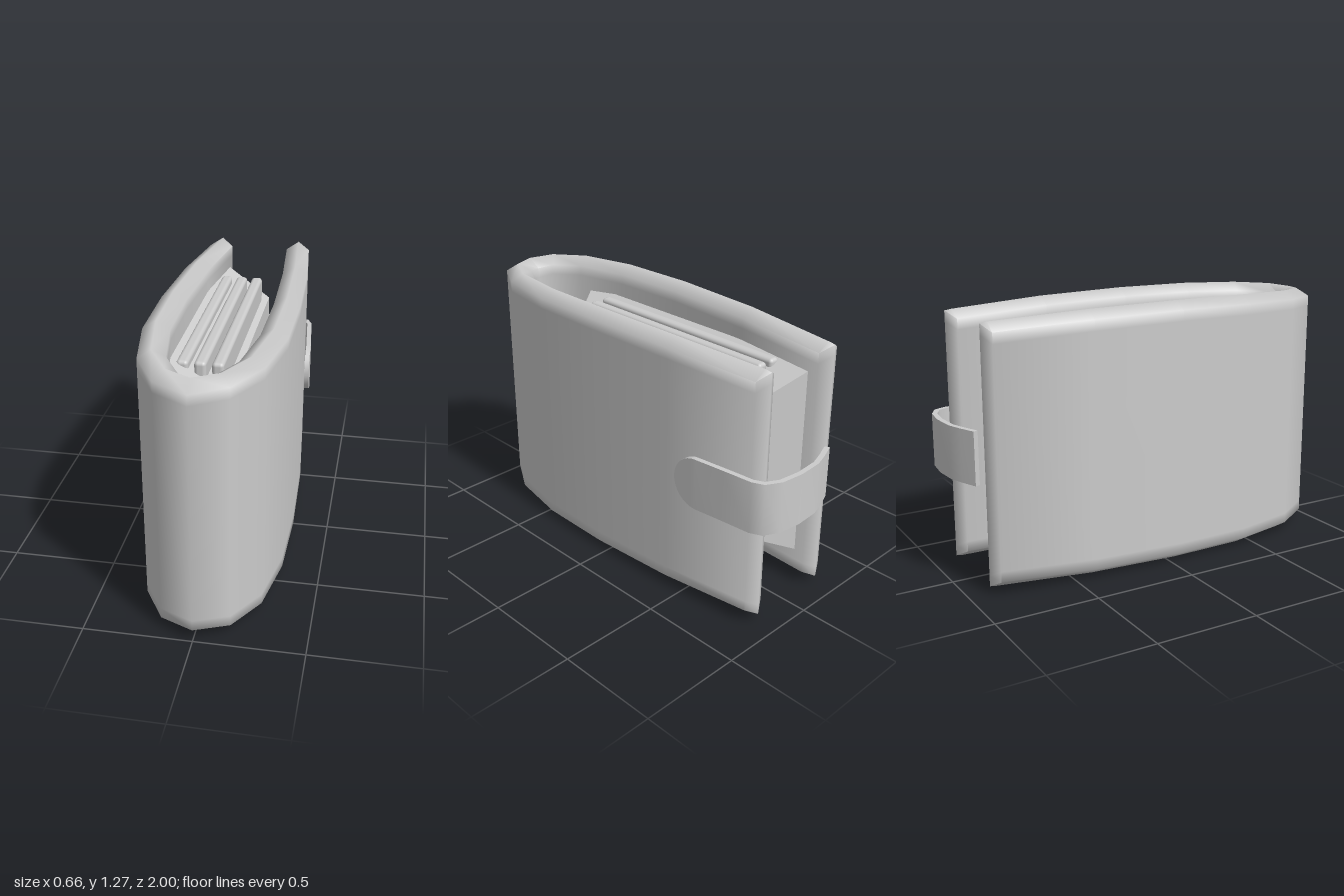
import * as THREE from 'three';
import { toCreasedNormals } from 'three/addons/utils/BufferGeometryUtils.js';
import { RoundedBoxGeometry } from 'three/addons/geometries/RoundedBoxGeometry.js';

const MID = 0.635; // height of the centre line
const material = new THREE.MeshStandardMaterial({ color: 0xcccccc, roughness: 0.8, side: THREE.DoubleSide });

// Sweeps a closed ring of [offset, y] points along stations [x, z, halfWidth, halfHeight]
// lying in the ground plane, with mitred corners and capped ends.
function sweep(stations, ringOf, crease) {
  const positions = [], index = [];
  const dir = (a, b) => new THREE.Vector2(b[0] - a[0], b[1] - a[1]).normalize();
  let n = 0;
  stations.forEach((s, i) => {
    const before = dir(stations[Math.max(i - 1, 0)], stations[Math.max(i, 1)]);
    const last = stations.length - 1;
    const after = dir(stations[Math.min(i, last - 1)], stations[Math.min(i + 1, last)]);
    const t = before.clone().add(after).normalize();
    const mitre = 1 / t.dot(after);
    const ring = ringOf(s[2], s[3]);
    n = ring.length;
    for (const [o, y] of ring) {
      positions.push(s[0] - t.y * o * mitre, MID + y, s[1] + t.x * o * mitre);
    }
  });
  for (let i = 0; i < stations.length - 1; i++) {
    for (let j = 0; j < n; j++) {
      const a = i * n + j, b = i * n + (j + 1) % n;
      index.push(a, a + n, b, b, a + n, b + n);
    }
  }
  const end = (stations.length - 1) * n;
  for (let j = 1; j < n - 1; j++) {
    index.push(0, j, j + 1, end, end + j + 1, end + j);
  }
  const geometry = new THREE.BufferGeometry();
  geometry.setAttribute('position', new THREE.Float32BufferAttribute(positions, 3));
  geometry.setIndex(index);
  return toCreasedNormals(geometry, crease);
}

// Folded cover: a padded wall with ridged rims, bent into a U around the spine
function coverGeometry() {
  const half = [
    [-0.21, -0.9, 0, 0.598], [-0.21, -0.865, 0.06, 0.603], [-0.25, -0.4, 0.062, 0.626],
    [-0.267, 0.05, 0.062, 0.635], [-0.26, 0.43, 0.062, 0.634], [-0.21, 0.72, 0.06, 0.627],
    [-0.115, 0.88, 0.06, 0.62],
  ];
  const mirrored = half.map(([x, z, w, h]) => [-x, z, w, h]).reverse();
  const ring = (w, h) => {
    const drop = 0.04 * w / 0.062;
    const e = h - drop, s = e - 0.05; // rim edge and supporting line below it
    return [[w, -e], [w, -s], [w, s], [w, e], [0, h], [-w, e], [-w, s], [-w, -s], [-w, -e], [0, -h]];
  };
  return sweep([...half, [0, 0.932, 0.064, 0.613], ...mirrored], ring, 1.22);
}

// Closing strap: a thin band around the open end with a rounded tip
function strapGeometry() {
  const w = 0.012, r = 0.125;
  const path = [
    [-0.18, -0.925], [-0.1, -0.957], [-0.03, -0.98], [0.09, -0.988], [0.2, -0.975],
    [0.265, -0.94], [0.287, -0.89], [0.3, -0.74], [0.314, -0.6],
  ].map(([x, z]) => [x, z, w, r]);
  for (let i = 1; i <= 8; i++) {
    const a = (i / 8) * Math.PI / 2;
    path.push([0.314 + 0.004 * Math.sin(a), -0.6 + r * Math.sin(a), w, Math.max(r * Math.cos(a), 0.002)]);
  }
  return sweep(path, (o, h) => [[o, -h], [o, h], [-o, h], [-o, -h]], 0.75);
}

// Card pocket: a block that tapers from the cover wall towards its free face
function pocketGeometry() {
  const box = new THREE.BoxGeometry(1, 1, 1);
  const p = box.attributes.position;
  for (let i = 0; i < p.count; i++) {
    const wall = p.getX(i) < 0;
    const front = p.getZ(i) > 0, top = p.getY(i) > 0;
    const z = wall ? (front ? 0.65 : -0.825) : (front ? 0.5 : -0.7);
    const y = (wall ? 0.48 : 0.34) * (top ? 1 : -1);
    p.setXYZ(i, wall ? -0.19 : 0.08, MID + y, z);
  }
  const flat = box.toNonIndexed();
  flat.computeVertexNormals();
  return flat;
}

export function createModel() {
  const group = new THREE.Group();
  group.name = 'wallet';
  const add = (name, geometry) => {
    const mesh = new THREE.Mesh(geometry, material);
    mesh.name = name;
    group.add(mesh);
    return mesh;
  };

  add('cover', coverGeometry());
  add('strap', strapGeometry());
  add('cardPocket', pocketGeometry());

  // Three cards standing out of the pocket
  for (let i = 0; i < 3; i++) {
    const card = add('card' + (i + 1), new RoundedBoxGeometry(0.055, 0.75, 1.13, 2, 0.018));
    card.position.set(-0.137 + i * 0.08, 0.735, -0.075);
  }
  return group;
}
